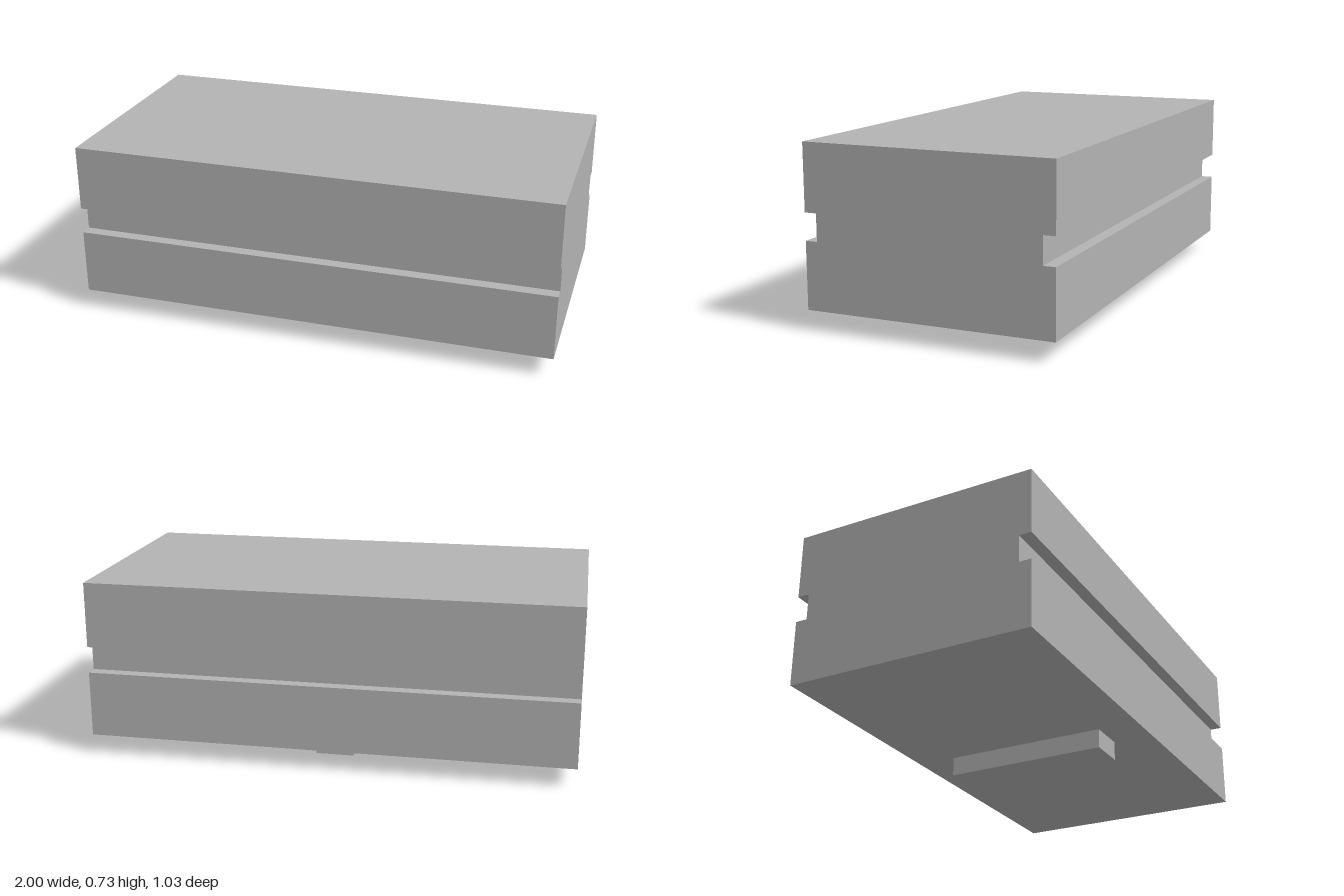
import * as THREE from 'three';

export function createModel() {
  const model = new THREE.Group();
  model.name = 'groovedBlock';
  const grey = new THREE.MeshStandardMaterial({ color: 0xb3b3b3 });
  grey.name = 'plain grey';

  // Block: cross-section with a groove along each long side, extruded along x
  const bottom = 0.08, top = 0.733, half = 0.515;
  const grooveLow = 0.352, grooveHigh = 0.462, grooveHalf = 0.465;
  const side = [
    [half, bottom], [half, grooveLow], [grooveHalf, grooveLow],
    [grooveHalf, grooveHigh], [half, grooveHigh], [half, top],
  ];
  const mirrored = side.map(([z, y]) => [-z, y]).reverse();
  const profile = new THREE.Shape([...side, ...mirrored].map(([z, y]) => new THREE.Vector2(z, y)));
  const blockGeometry = new THREE.ExtrudeGeometry(profile, { depth: 2, bevelEnabled: false });
  blockGeometry.translate(0, 0, -1).rotateY(Math.PI / 2);
  const block = new THREE.Mesh(blockGeometry, grey);
  block.name = 'block';
  model.add(block);

  // Locating key under the block, running front to back
  const key = new THREE.Mesh(new THREE.BoxGeometry(0.157, bottom, 0.692), grey);
  key.name = 'bottomKey';
  key.position.y = bottom / 2;
  model.add(key);

  return model;
}
